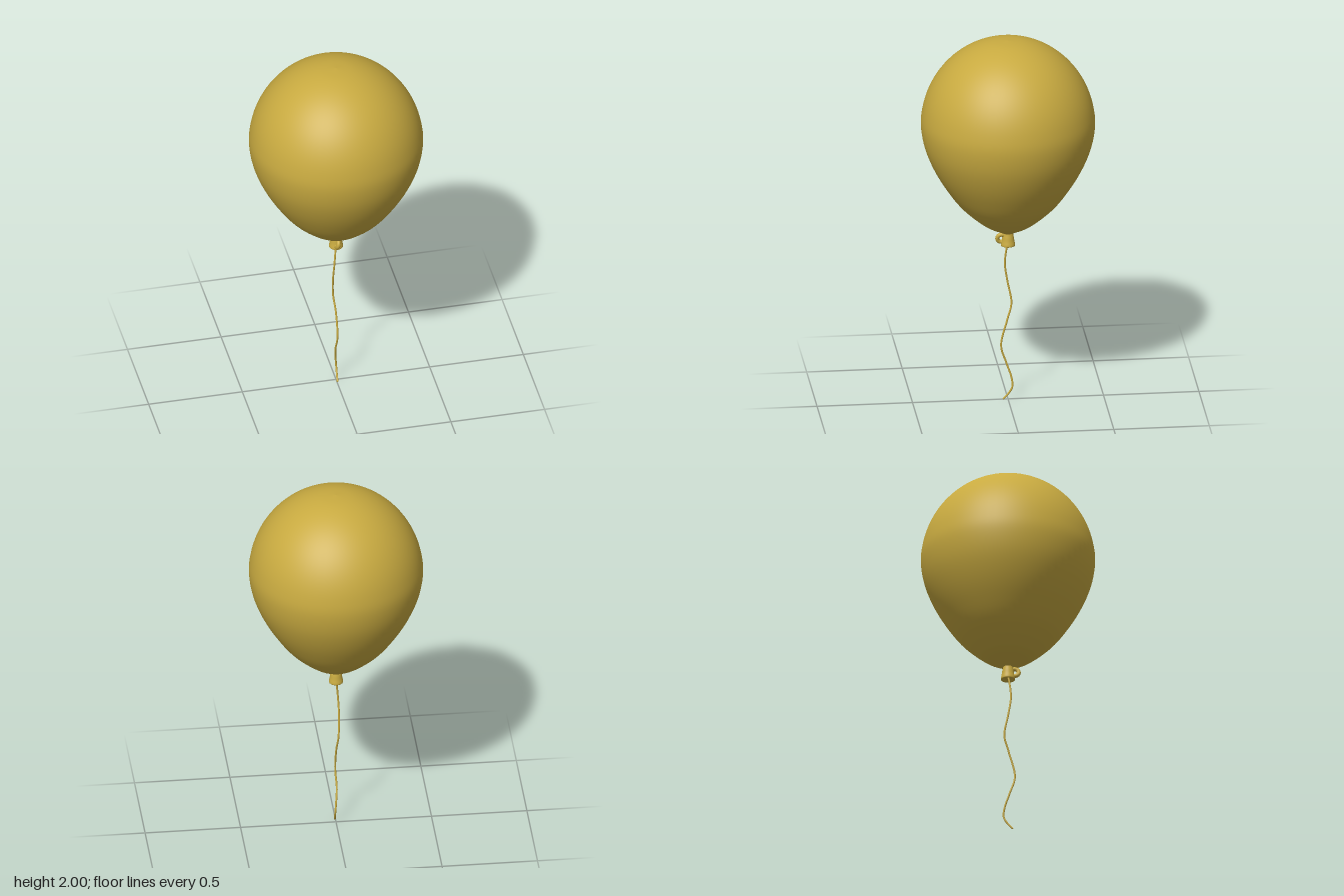
import * as THREE from 'three';

const v3 = (a) => new THREE.Vector3(...a);

// Smooth lathe through a few [radius, y] points, listed from bottom to top
function lathe(points, steps, sides) {
  const curve = new THREE.SplineCurve(points.map(([r, y]) => new THREE.Vector2(r, y)));
  const profile = curve.getPoints(steps);
  profile.forEach((p) => { p.x = Math.max(p.x, 0); });
  return new THREE.LatheGeometry(profile, sides);
}

export function createModel() {
  const model = new THREE.Group();
  model.name = 'balloon';
  const gold = new THREE.MeshStandardMaterial({ color: 0xc8aa40 });
  gold.name = 'gold rubber';

  const add = (name, geometry) => {
    const mesh = new THREE.Mesh(geometry, gold);
    mesh.name = name;
    model.add(mesh);
    return mesh;
  };

  // Inflated body: tapered underside, then an elliptical dome
  const body = [
    [0.022, 0.925], [0.06, 0.944], [0.14, 0.99], [0.25, 1.089],
    [0.332, 1.2], [0.394, 1.31], [0.436, 1.42],
  ];
  for (let i = 0; i <= 8; i++) {
    const a = (i / 8) * Math.PI / 2;
    body.push([0.454 * Math.cos(a), 1.53 + 0.47 * Math.sin(a)]);
  }
  add('body', lathe(body, 72, 72));

  // Neck flaring to a rolled lip, closed underneath
  add('neck', lathe([
    [0, 0.868], [0.018, 0.864], [0.028, 0.856], [0.036, 0.857], [0.037, 0.866],
    [0.033, 0.885], [0.03, 0.905], [0.027, 0.92], [0.024, 0.94],
  ], 36, 32));

  // Loop of the knot standing out at the front, slightly twisted
  const loop = add('knotLoop', new THREE.TorusGeometry(0.022, 0.011, 12, 32));
  loop.position.set(0, 0.898, 0.034);
  loop.rotation.set(0, Math.PI / 2, 0.22, 'ZYX');
  loop.rotation.z = -0.22;

  // Wavy string
  const path = new THREE.CatmullRomCurve3([
    [0, 0.88, 0], [-0.004, 0.84, 0.007], [-0.012, 0.75, 0.015], [-0.016, 0.65, 0.001],
    [-0.011, 0.53, -0.019], [-0.002, 0.44, 0.004], [0, 0.3, 0.036], [-0.005, 0.2, 0.008],
    [0.002, 0.12, -0.018], [0.006, 0.07, -0.022], [0.005, 0.03, 0], [0.003, 0.004, 0.024],
  ].map(v3));
  add('string', new THREE.TubeGeometry(path, 120, 0.005, 8));
  const tip = add('stringEnd', new THREE.SphereGeometry(0.005, 8, 6));
  tip.position.set(0.003, 0.005, 0.023);

  return model;
}
